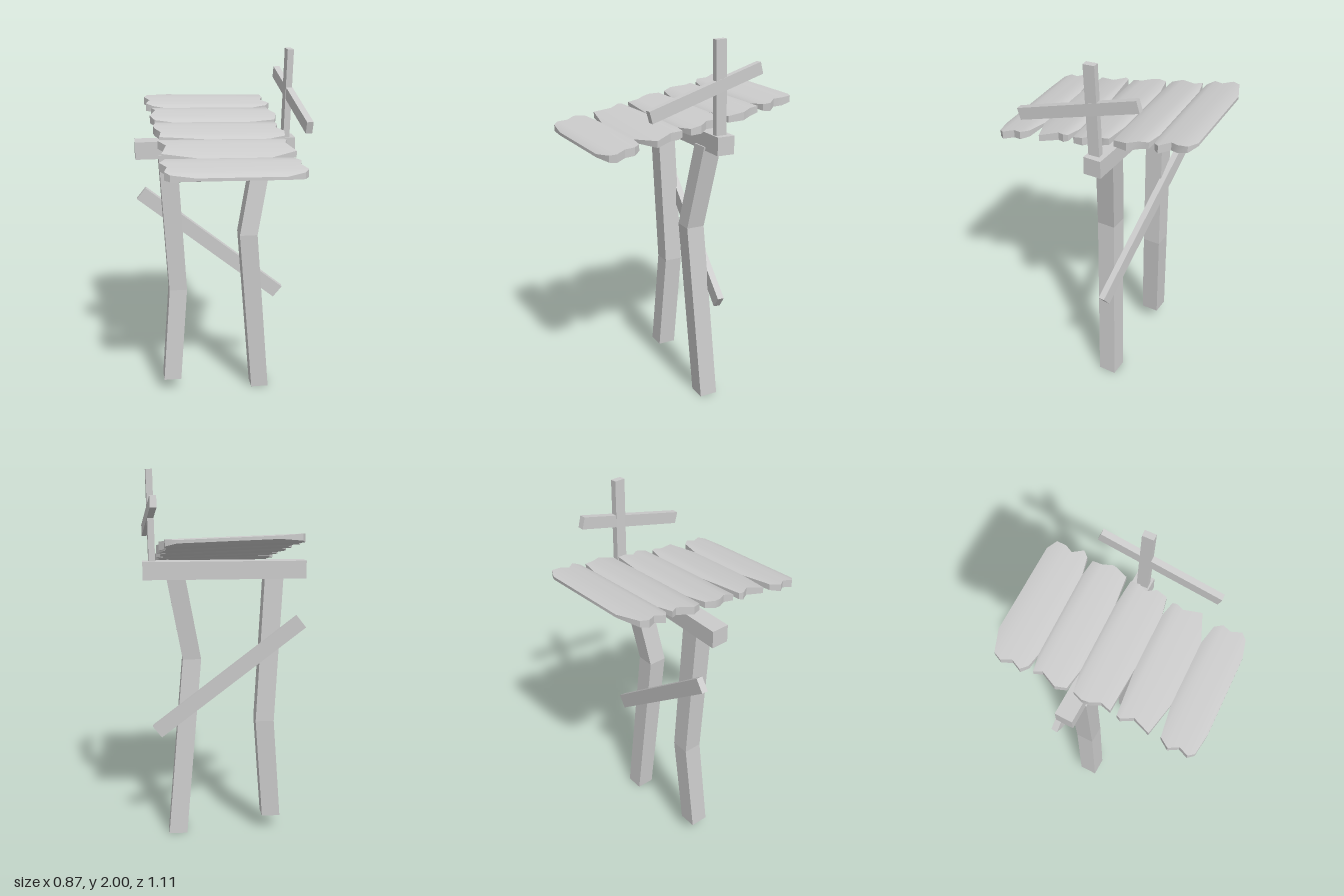
import * as THREE from 'three';
import { toCreasedNormals } from 'three/addons/utils/BufferGeometryUtils.js';

const material = new THREE.MeshStandardMaterial({ color: 0xcccccc });

// Closed solid through four-cornered rings
function loft(rings, crease) {
  const index = [];
  for (let i = 0; i < rings.length - 1; i++) {
    for (let j = 0; j < 4; j++) {
      const k = (j + 1) % 4;
      const a = i * 4 + j, b = a + 4, c = i * 4 + 4 + k, d = i * 4 + k;
      index.push(a, b, c, a, c, d);
    }
  }
  const e = (rings.length - 1) * 4;
  index.push(0, 1, 2, 0, 2, 3, e, e + 3, e + 2, e, e + 2, e + 1);
  const geometry = new THREE.BufferGeometry();
  geometry.setAttribute('position', new THREE.Float32BufferAttribute(rings.flat(2), 3));
  geometry.setIndex(index);
  return toCreasedNormals(geometry, crease);
}

// Plank outlines, row by row from back to front: [left x, z, right x, z]
const PLANKS = [
  [[-.20, -.56, .295, -.55], [-.32, -.52, .35, -.52], [-.34, -.48, .35, -.47], [-.315, -.43, .33, -.43],
    [-.34, -.38, .37, -.38], [-.305, -.35, .345, -.352], [-.23, -.337, .25, -.335]],
  [[-.23, -.337, .25, -.335], [-.32, -.32, .34, -.32], [-.30, -.28, .345, -.27], [-.34, -.20, .37, -.215],
    [-.32, -.145, .345, -.137], [-.21, -.127, .185, -.124]],
  [[-.21, -.127, .185, -.124], [-.32, -.11, .335, -.107], [-.34, -.06, .34, -.06], [-.335, -.02, .32, -.02],
    [-.31, .03, .355, .03], [-.325, .083, .345, .086], [-.075, .10, .25, .104]],
  [[-.075, .10, .25, .104], [-.33, .12, .33, .125], [-.34, .14, .335, .15], [-.305, .20, .32, .185],
    [-.34, .29, .355, .28], [-.16, .33, .21, .335]],
  [[-.16, .33, .21, .335], [-.33, .35, .315, .36], [-.365, .40, .345, .40], [-.335, .45, .33, .445],
    [-.355, .50, .355, .50], [-.33, .53, .33, .53], [-.21, .548, .235, .553]],
];

// Plank lying on the sloping roof plane, thinner at its long edges
function plankGeometry(rows) {
  const height = (x, z) => 1.573 - 0.18 * z - 0.03 * x;
  const last = rows.length - 1;
  return loft(rows.map(([xl, zl, xr, zr], i) => {
    const t = i === 0 || i === last ? 0.008 : i === 1 || i === last - 1 ? 0.017 : 0.021;
    const yl = height(xl, zl), yr = height(xr, zr);
    return [[xl, yl + t, zl], [xr, yr + t, zr], [xr, yr - t, zr], [xl, yl - t, zl]];
  }), 0.6);
}

// Bent square leg through [x, y, z] centres
const YAW = 0.057;
function legGeometry(centres) {
  const h = 0.05, c = Math.cos(YAW), s = Math.sin(YAW);
  const corners = [[-h, -h], [h, -h], [h, h], [-h, h]];
  return loft(centres.map(([x, y, z]) =>
    corners.map(([u, v]) => [x + u * c - v * s, y, z + u * s + v * c])), 0.05);
}

export function createModel() {
  const group = new THREE.Group();
  const add = (name, geometry, position = [0, 0, 0], rotation = [0, 0, 0]) => {
    const mesh = new THREE.Mesh(geometry, material);
    mesh.name = name;
    mesh.position.set(...position);
    mesh.rotation.set(...rotation, 'YXZ');
    group.add(mesh);
  };
  const box = (w, h, d) => new THREE.BoxGeometry(w, h, d);

  // Crooked legs
  add('leftLeg', legGeometry([[.262, 0, -.07], [.173, .99, -.027], [.262, 1.45, -.07]]));
  add('rightLeg', legGeometry([[-.26, .085, -.1], [-.215, .65, -.12], [-.262, 1.45, -.1]]));

  // Top beam and diagonal brace
  add('topBeam', box(.87, .095, .095), [0, 1.478, -.09], [0, -YAW, 0]);
  add('diagonalBrace', box(.99, .08, .035), [-.015, .9, -.14], [0, -.142, -.667]);

  // Upright post with slanted crossbar
  add('uprightPost', box(.034, .48, .06), [.388, 1.76, -.052], [.03, 0, -.015]);
  add('crossbar', box(.034, .063, .666), [.392, 1.752, .028], [.278, .015, 0]);

  // Jagged roof planks
  PLANKS.forEach((rows, i) => add(`roofPlank${i + 1}`, plankGeometry(rows)));

  return group;
}
